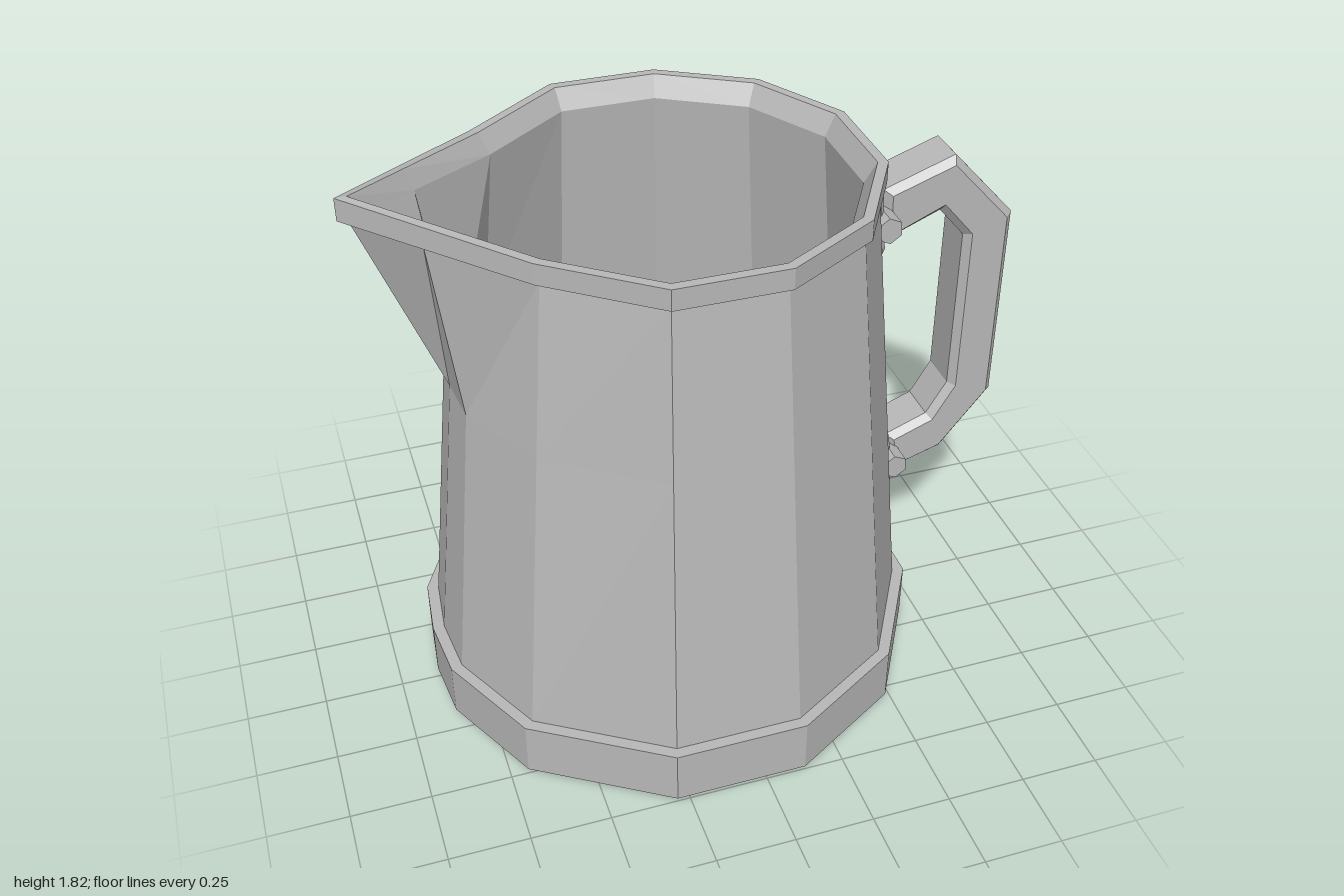
import * as THREE from 'three';

const CX = -0.09; // jug axis, pushed off centre by the handle

// Half outline of the jug (+z side), from the handle side round to the spout side, flat-to-centre distance 1
const HALF = [[1, 0], [1, 0.268], [0.732, 0.732], [0.268, 1], [-0.268, 1], [-0.79, 0.67], [-1, 0.26], [-1.025, 0]];

const ring = (a, y) => HALF.map(([x, z]) => [CX + x * a, y, z * a]);

// Ring drawn out to a raised pouring tip
function spoutRing(a, y, tipX, lift = 0.06) {
  const pts = ring(a, y);
  const v = [CX - 0.75 * a, y, 0.63 * a];
  const tip = [tipX, y + lift, 0];
  pts[5] = v;
  pts[6] = v.map((c, i) => c + (tip[i] - c) * 0.6);
  pts[7] = tip;
  return pts;
}

// Ring at the foot of the spout, on the straight wall between two rings
function throatRing(low, high, t, cornerX, midX) {
  const pts = low.map((p, i) => p.map((c, k) => c + (high[i][k] - c) * t));
  const y = pts[0][1];
  pts[6] = [cornerX, y, 0.16];
  pts[7] = [midX, y, 0];
  return pts;
}

// Joins half rings into a faceted skin and mirrors it across z
function shell(name, rings, material, inward = false) {
  const pos = [];
  const tri = (a, b, c) => {
    const [p, q, r] = inward ? [a, c, b] : [a, b, c];
    pos.push(...p, ...q, ...r);
    for (const [x, y, z] of [p, r, q]) pos.push(x, y, -z);
  };
  for (let j = 0; j < rings.length - 1; j++) {
    const lo = rings[j], hi = rings[j + 1];
    for (let i = 0; i < lo.length - 1; i++) {
      tri(lo[i], hi[i], lo[i + 1]);
      tri(hi[i], hi[i + 1], lo[i + 1]);
    }
  }
  const geo = new THREE.BufferGeometry();
  geo.setAttribute('position', new THREE.Float32BufferAttribute(pos, 3));
  geo.computeVertexNormals();
  const mesh = new THREE.Mesh(geo, material);
  mesh.name = name;
  return mesh;
}

// Chamfered slab of a given outline, centred on z = 0
function slab(points, thickness, bevel) {
  const shape = new THREE.Shape(points.map(([x, y]) => new THREE.Vector2(x, y)));
  const geo = new THREE.ExtrudeGeometry(shape, {
    depth: thickness - 2 * bevel, bevelEnabled: true, bevelSegments: 1,
    bevelThickness: bevel, bevelSize: bevel, bevelOffset: -bevel,
  });
  return geo.translate(0, 0, bevel - thickness / 2);
}

export function createModel() {
  const model = new THREE.Group();
  model.name = 'jug';
  const grey = new THREE.MeshStandardMaterial({ color: 0xb8b8b8, flatShading: true });
  grey.name = 'plain grey';

  // Base band with chamfered underside
  model.add(shell('base', [
    ring(0, 0), ring(0.73, 0), ring(0.77, 0.035), ring(0.77, 0.215), ring(0.73, 0.215),
  ], grey));

  // Outer wall with the folded spout
  const foot = ring(0.735, 0.21);
  const top = spoutRing(0.6, 1.69, -0.97, 0.05);
  model.add(shell('body', [foot, throatRing(foot, top, 0.635, -0.73, -0.745), top], grey));

  // Rim, sloping inward on the inside
  model.add(shell('rim', [
    top, spoutRing(0.62, 1.69, -1, 0.055), spoutRing(0.62, 1.755, -1),
    spoutRing(0.59, 1.755, -0.965), spoutRing(0.555, 1.69, -0.94),
  ], grey));

  // Inner wall and floor
  const floorEdge = ring(0.69, 0.1);
  const mouth = spoutRing(0.555, 1.69, -0.94);
  model.add(shell('inside', [
    ring(0, 0.1), floorEdge, throatRing(floorEdge, mouth, 0.66, -0.685, -0.7), mouth,
  ], grey, true));

  // Angular handle
  const handle = new THREE.Mesh(slab([
    [0.57, 1.605], [0.58, 1.43], [0.76, 1.505], [0.845, 1.405], [0.845, 0.855],
    [0.78, 0.745], [0.64, 0.69], [0.665, 0.545], [0.84, 0.6], [1, 0.8], [1, 1.46], [0.795, 1.685],
  ], 0.17, 0.022), grey);
  handle.name = 'handle';
  model.add(handle);

  // Wall plates and hexagonal pins that hold the handle
  const w = 0.12, h = 0.145, c = 0.05;
  const octagon = [[w, h - c], [w - c, h], [c - w, h], [-w, h - c], [-w, c - h], [c - w, -h], [w - c, -h], [w, c - h]];
  for (const [name, x, y] of [['upper', 0.54, 1.515], ['lower', 0.624, 0.62]]) {
    const mount = new THREE.Group();
    mount.name = name + 'Mount';
    mount.position.set(x, y, 0);
    mount.rotation.z = 0.09;
    const plate = new THREE.Mesh(slab(octagon, 0.04, 0.014).rotateY(Math.PI / 2), grey);
    plate.name = 'plate';
    const pin = new THREE.Mesh(new THREE.CylinderGeometry(0.043, 0.043, 0.31, 6).rotateX(Math.PI / 2), grey);
    pin.name = 'pin';
    pin.position.x = 0.018;
    mount.add(plate, pin);
    model.add(mount);
  }
  return model;
}
